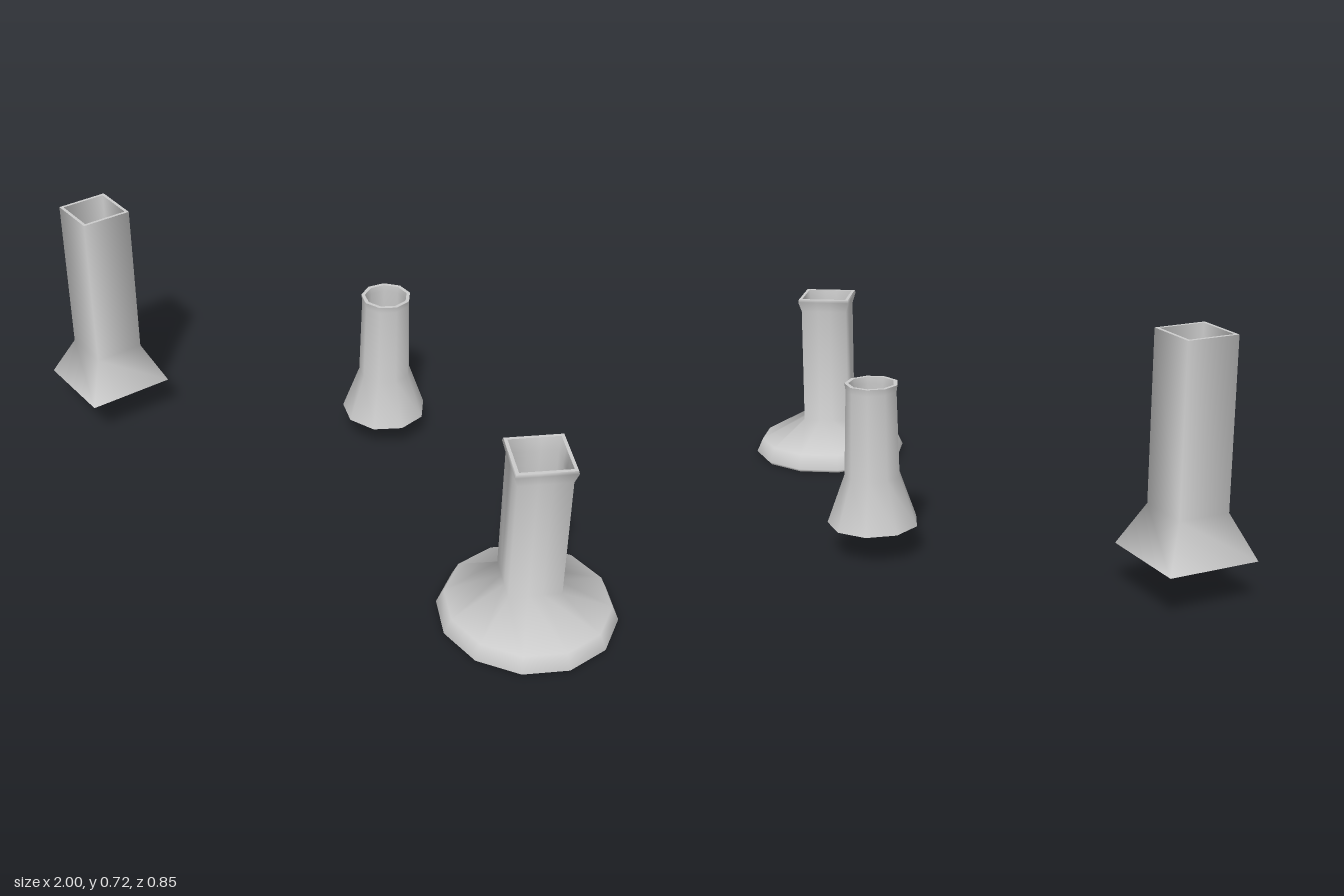
import * as THREE from 'three';
import { mergeGeometries } from 'three/addons/utils/BufferGeometryUtils.js';

const material = new THREE.MeshStandardMaterial({ color: 0xcccccc });

// Hollow pipe: outer skin runs upward, inner skin runs downward, flat rims close both ends.
// Each skin is turned separately so that the rims keep sharp edges.
function pipe(name, outer, inner, sides, turn) {
  const skins = [
    outer,
    [outer.at(-1), inner[0]],
    inner,
    [inner.at(-1), outer[0]],
  ].map((points) => new THREE.LatheGeometry(
    points.map(([r, y]) => new THREE.Vector2(r, y)), sides, turn));
  const mesh = new THREE.Mesh(mergeGeometries(skins), material);
  mesh.name = name;
  return mesh;
}

// Pulls everything above a height from a round section into a square one
function squareAbove(geometry, height, turn) {
  const p = geometry.attributes.position;
  const quarter = Math.PI / 2;
  for (let i = 0; i < p.count; i++) {
    if (p.getY(i) < height) continue;
    const angle = Math.atan2(p.getX(i), p.getZ(i)) - turn + 4 * quarter + 1e-6;
    const k = Math.SQRT1_2 / Math.cos((angle % quarter) - quarter / 2);
    p.setX(i, p.getX(i) * k);
    p.setZ(i, p.getZ(i) * k);
  }
}

export function createModel() {
  const group = new THREE.Group();
  group.name = 'flues';

  // Tall square flue with a flared foot
  const squareFlue = pipe('squareFlue',
    [[0.189, 0.127], [0.107, 0.25], [0.107, 0.722]],
    [[0.094, 0.722], [0.094, 0.25], [0.173, 0.127]],
    4, 0.478);
  squareFlue.position.set(-0.833, 0, 0.103);

  // Small nine-sided flue with a slight lip
  const smallFlue = pipe('smallFlue',
    [[0.129, 0.094], [0.079, 0.235], [0.072, 0.48], [0.075, 0.499]],
    [[0.064, 0.499], [0.062, 0.48], [0.066, 0.235], [0.113, 0.094]],
    9, Math.PI);
  smallFlue.position.set(-0.046, 0, -0.301);

  // Wide flue: round bowl-like skirt blending into a square neck with a flared rim
  const turn = -0.05;
  const wideFlue = pipe('wideFlue',
    [[0.237, 0.002], [0.247, 0.012], [0.227, 0.056], [0.103, 0.13],
      [0.103, 0.5], [0.116, 0.532], [0.113, 0.541]],
    [[0.1, 0.541], [0.094, 0.5], [0.094, 0.122], [0.212, 0.05], [0.228, 0.002]],
    12, turn);
  squareAbove(wideFlue.geometry, 0.11, turn);
  wideFlue.position.set(0.75, 0, 0.177);

  group.add(squareFlue, smallFlue, wideFlue);
  return group;
}
